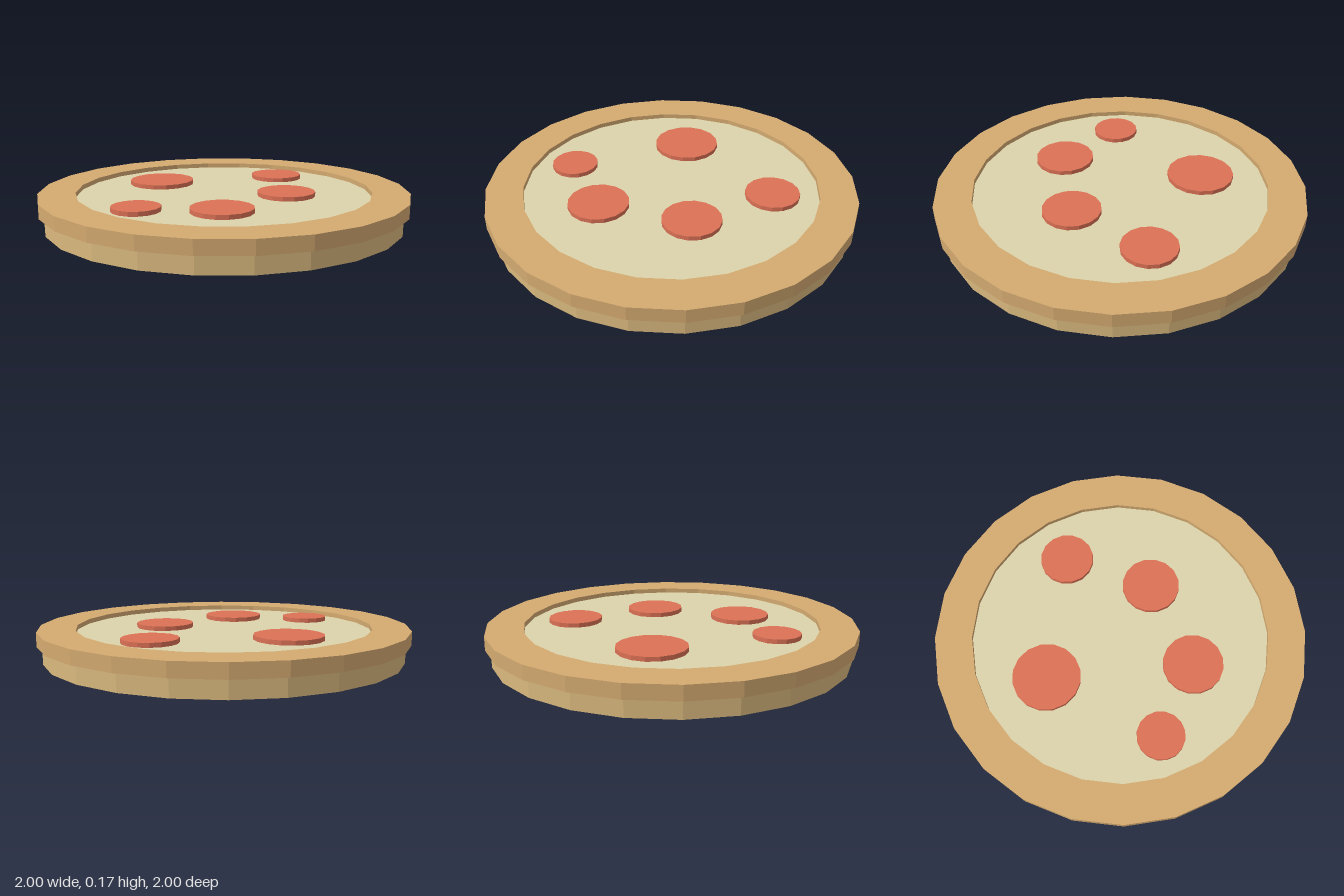
import * as THREE from 'three';

const SIDES = 24;

function part(name, geometry, color) {
  const mesh = new THREE.Mesh(geometry, new THREE.MeshStandardMaterial({ color, flatShading: true }));
  mesh.name = name;
  return mesh;
}

// Faceted disc between two heights, with a flat side facing the front
function disc(name, radius, bottom, top, sides, color, x = 0, z = 0) {
  const geometry = new THREE.CylinderGeometry(radius, radius, top - bottom, sides);
  geometry.rotateY(Math.PI / sides);
  geometry.translate(x, (bottom + top) / 2, z);
  return part(name, geometry, color);
}

export function createModel() {
  const pizza = new THREE.Group();
  pizza.name = 'pizza';

  // Dough base and sunken cheese layer
  pizza.add(disc('base', 0.98, 0, 0.095, SIDES, 0xdab97e));
  pizza.add(disc('cheese', 0.815, 0.09, 0.144, SIDES, 0xdcd4ab));

  // Raised crust ring with a square section
  const section = [[0.807, 0.095], [1.0086, 0.095], [1.0086, 0.17], [0.807, 0.17], [0.807, 0.095]]
    .map(([r, y]) => new THREE.Vector2(r, y));
  pizza.add(part('crust', new THREE.LatheGeometry(section, SIDES, Math.PI / SIDES), 0xd4aa70));

  // Pepperoni slices: x, z, radius
  const slices = [
    [-0.365, -0.28, 0.184],
    [0.32, -0.45, 0.148],
    [0.34, 0.05, 0.158],
    [-0.01, 0.425, 0.164],
    [-0.44, 0.4, 0.128],
  ];
  const pepperoni = new THREE.Group();
  pepperoni.name = 'pepperoni';
  slices.forEach(([x, z, r], i) => {
    pepperoni.add(disc(`pepperoniSlice${i + 1}`, r, 0.135, 0.168, 16, 0xdc7155, x, z));
  });
  pizza.add(pepperoni);

  return pizza;
}
